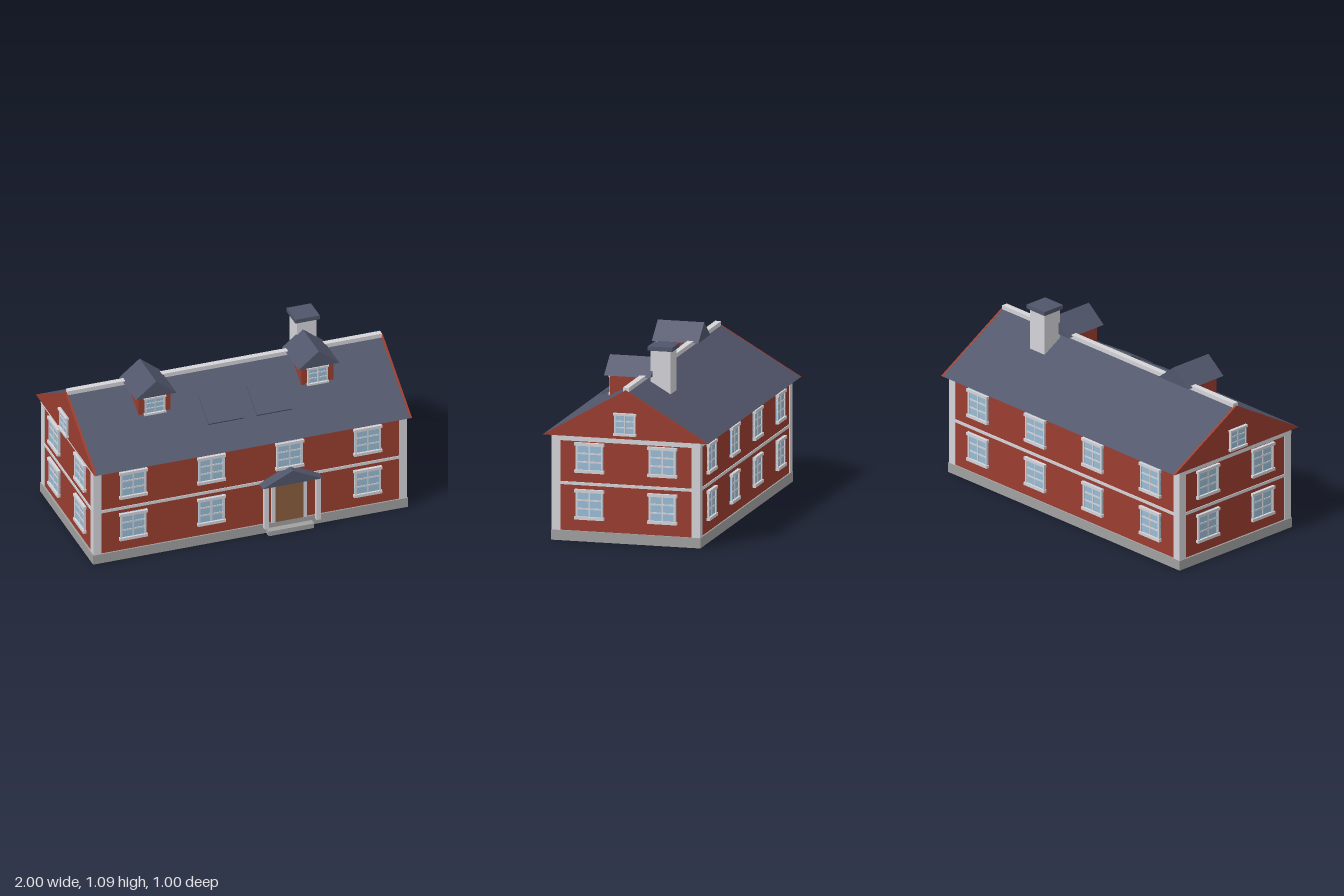
import * as THREE from 'three';

const paint = (name, hex) => {
  const m = new THREE.MeshStandardMaterial({ color: hex });
  m.name = name;
  return m;
};

export function createModel() {
  const red = paint('wall red', 0x9a3d2f);
  const trim = paint('trim grey white', 0xd4d4d9);
  const slate = paint('roof slate', 0x50556a);
  const stone = paint('foundation grey', 0xa0a0a0);
  const glass = paint('window glass', 0x98bcd6);
  const wood = paint('door wood', 0x8a5e3e);

  const model = new THREE.Group();
  model.name = 'house';
  const house = new THREE.Group();
  house.name = 'building';
  house.position.z = -0.003;
  model.add(house);

  // Box given by its lower and upper limits on each axis
  const box = (parent, name, mat, x0, x1, y0, y1, z0, z1) => {
    const mesh = new THREE.Mesh(new THREE.BoxGeometry(x1 - x0, y1 - y0, z1 - z0), mat);
    mesh.position.set((x0 + x1) / 2, (y0 + y1) / 2, (z0 + z1) / 2);
    mesh.name = name;
    parent.add(mesh);
    return mesh;
  };

  // Triangular prism with its ridge along z
  const prism = (name, mat, halfWidth, height, depth) => {
    const s = new THREE.Shape();
    s.moveTo(-halfWidth, 0);
    s.lineTo(halfWidth, 0);
    s.lineTo(0, height);
    s.closePath();
    const geo = new THREE.ExtrudeGeometry(s, { depth, bevelEnabled: false });
    const mesh = new THREE.Mesh(geo, mat);
    mesh.name = name;
    house.add(mesh);
    return mesh;
  };

  // Six-pane window facing +z, its back on z = 0
  const addWindow = (name, w, h, x, y, z, turn = 0) => {
    const g = new THREE.Group();
    g.name = name;
    const fw = w * 0.465, side = w * 0.065, hh = h / 2, head = h * 0.1;
    box(g, 'glass', glass, -fw, fw, -hh, hh, 0, 0.007);
    for (const s of [-1, 1]) {
      const a = s * fw, b = s * (fw - side);
      box(g, 'sideCasing', trim, Math.min(a, b), Math.max(a, b), -hh, hh, 0, 0.014);
      const c = s * (hh - head / 2);
      box(g, s > 0 ? 'head' : 'sill', trim, -w / 2, w / 2, c - head / 2, c + head / 2, 0, 0.02);
      box(g, 'crossBar', trim, -fw, fw, s * h * 0.14 - h * 0.027, s * h * 0.14 + h * 0.027, 0, 0.01);
    }
    box(g, 'mullion', trim, -w * 0.025, w * 0.025, -hh, hh, 0, 0.0105);
    g.position.set(x, y, z);
    g.rotation.y = turn;
    house.add(g);
  };

  // Foundation and walls
  const WX = 0.956, WZ = 0.439;
  box(house, 'foundation', stone, -0.967, 0.967, 0, 0.06, -0.448, 0.448);
  box(house, 'walls', red, -WX, WX, 0.06, 0.62, -WZ, WZ);

  // Corner boards and horizontal bands
  for (const sx of [-1, 1]) for (const sz of [-1, 1]) {
    const corner = box(house, 'cornerBoard', trim, 0.914, 0.963, 0.06, 0.6, 0.394, 0.446);
    corner.position.x *= sx;
    corner.position.z *= sz;
  }
  box(house, 'middleBand', trim, -0.961, 0.961, 0.33, 0.348, -0.444, 0.444);
  box(house, 'eaveBand', trim, -0.964, 0.964, 0.59, 0.62, -0.447, 0.447);

  // Main roof with red gable ends and ridge cap
  const roof = prism('mainRoof', slate, 0.497, 0.287, 1.924);
  roof.rotation.y = Math.PI / 2;
  roof.position.set(-0.962, 0.62, 0);
  for (const x of [-0.975, 0.961]) {
    const gable = prism('gableEnd', red, 0.497, 0.288, 0.014);
    gable.rotation.y = Math.PI / 2;
    gable.position.set(x, 0.62, 0);
  }
  box(house, 'ridgeCap', trim, -0.965, 0.965, 0.89, 0.922, -0.018, 0.018);

  // Wall windows: four per storey front and back, two per storey on the ends
  for (const y of [0.218, 0.494]) {
    for (const x of [-0.72, -0.24, 0.24, 0.72]) {
      if (!(x === 0.24 && y < 0.3)) addWindow('frontWindow', 0.172, 0.178, x, y, WZ);
      addWindow('backWindow', 0.172, 0.178, x, y, -WZ, Math.PI);
    }
    for (const s of [-1, 1]) for (const z of [-0.219, 0.219])
      addWindow('endWindow', 0.176, 0.178, s * WX, y, z, s * Math.PI / 2);
  }
  for (const s of [-1, 1])
    addWindow('gableWindow', 0.137, 0.133, s * 0.978, 0.708, 0, s * Math.PI / 2);

  // Dormers
  for (const x of [-0.5, 0.5]) {
    box(house, 'dormerBody', red, x - 0.098, x + 0.098, 0.74, 0.914, -0.01, 0.201);
    const cap = prism('dormerRoof', slate, 0.125, 0.1, 0.279);
    cap.position.set(x, 0.912, -0.05);
    addWindow('dormerWindow', 0.133, 0.115, x, 0.844, 0.199);
  }

  // Roof hatches lying along the front slope
  const pitch = Math.atan2(0.287, 0.497);
  for (const x of [-0.11, 0.187]) {
    const hatch = box(house, 'roofHatch', slate, -0.108, 0.108, -0.005, 0.005, -0.101, 0.101);
    hatch.position.set(x, 0.779, 0.252);
    hatch.rotation.x = pitch;
  }

  // Chimney
  box(house, 'chimney', trim, 0.462, 0.584, 0.75, 1.07, -0.16, -0.039);
  box(house, 'chimneyCap', slate, 0.448, 0.598, 1.068, 1.093, -0.174, -0.026);

  // Door with casing
  const DX = 0.238;
  box(house, 'door', wood, DX - 0.087, DX + 0.087, 0.06, 0.302, WZ - 0.01, 0.448);
  for (const s of [-1, 1]) {
    const c = DX + s * 0.097;
    box(house, 'doorCasing', trim, c - 0.011, c + 0.011, 0.06, 0.302, WZ - 0.01, 0.451);
  }
  box(house, 'doorHead', trim, DX - 0.108, DX + 0.108, 0.302, 0.32, WZ - 0.01, 0.451);

  // Porch: posts, gabled roof and step
  for (const s of [-1, 1]) {
    const c = DX + s * 0.159;
    box(house, 'porchPost', trim, c - 0.0135, c + 0.0135, 0.06, 0.335, 0.481, 0.507);
  }
  const porch = prism('porchRoof', slate, 0.184, 0.087, 0.078);
  porch.position.set(DX, 0.333, 0.43);
  box(house, 'doorStep', stone, 0.096, 0.376, 0, 0.03, 0.44, 0.49);

  return model;
}
